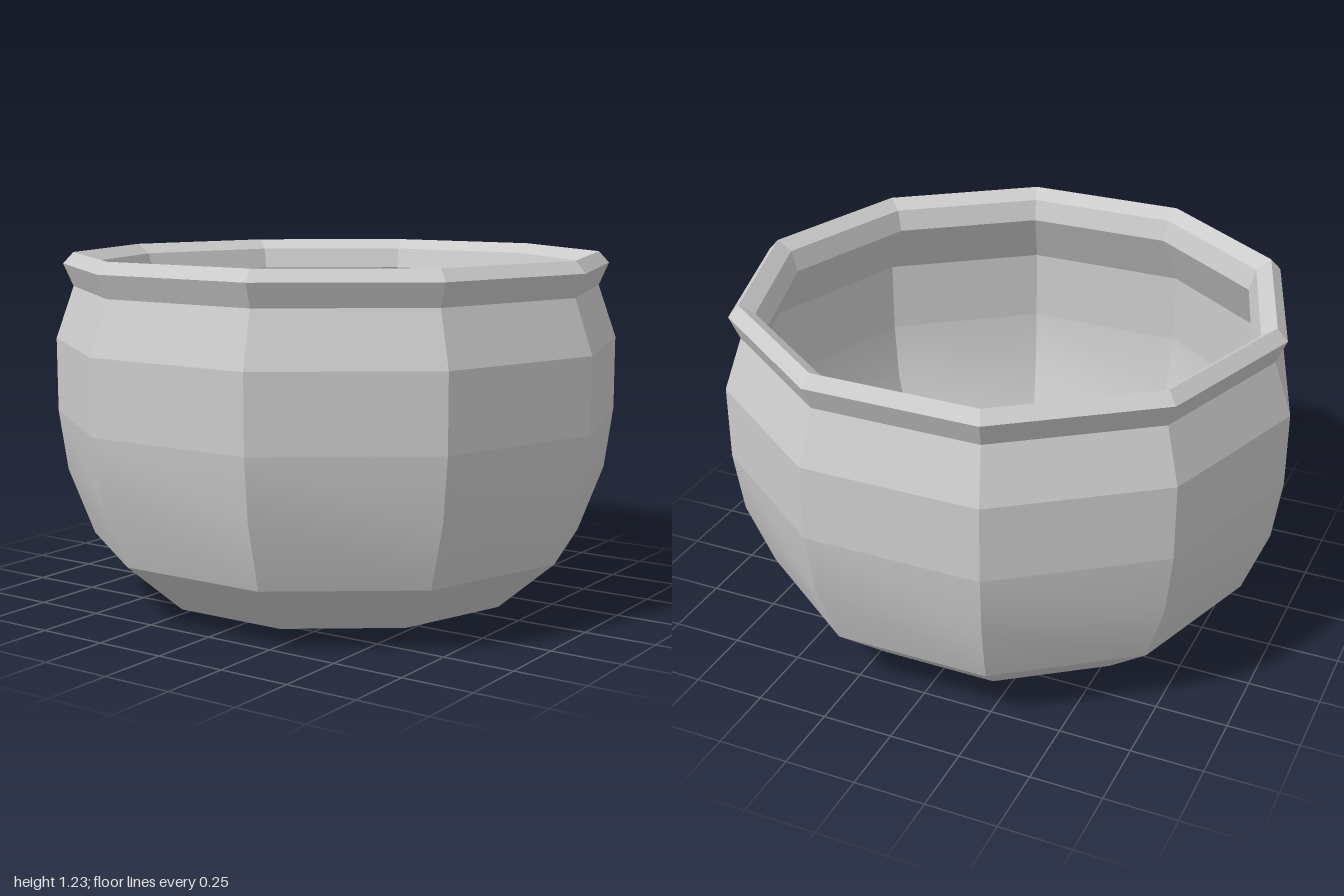
import * as THREE from 'three';
import { toCreasedNormals } from 'three/addons/utils/BufferGeometryUtils.js';

const SIDES = 10;

// Each part is a ten-sided band turned around the y axis; points are [radius, height].
// Profiles run from the outer base centre, up and over the rim, then down the inside.
const PARTS = [
  { name: 'outerBase', profile: [[0, 0], [0.67, 0.035], [0.88, 0.215]] },
  { name: 'outerLowerWall', profile: [[0.88, 0.215], [0.97, 0.45], [1, 0.665]], soft: true },
  { name: 'outerUpperWall', profile: [[1, 0.665], [1, 0.925], [0.935, 1.11]] },
  { name: 'rim', profile: [[0.935, 1.11], [0.97, 1.19], [0.933, 1.23], [0.88, 1.195], [0.857, 1.12]] },
  { name: 'innerUpperWall', profile: [[0.857, 1.12], [0.95, 0.935], [0.95, 0.675]] },
  { name: 'innerLowerWall', profile: [[0.95, 0.675], [0.925, 0.46], [0.83, 0.245]], soft: true },
  { name: 'innerFloor', profile: [[0.83, 0.245], [0.6, 0.09], [0, 0.065]] },
];

// Soft bands blend vertically but keep the corners between the ten sides sharp.
function makeBand({ name, profile, soft = false }) {
  const points = profile.map(([r, y]) => new THREE.Vector2(r, y));
  let geometry = new THREE.LatheGeometry(points, SIDES, Math.PI / 2);
  if (soft) geometry = toCreasedNormals(geometry, 0.3);
  const material = new THREE.MeshStandardMaterial({ color: 0xcccccc, flatShading: !soft });
  const mesh = new THREE.Mesh(geometry, material);
  mesh.name = name;
  return mesh;
}

export function createModel() {
  const pot = new THREE.Group();
  pot.name = 'pot';
  for (const part of PARTS) pot.add(makeBand(part));
  return pot;
}
